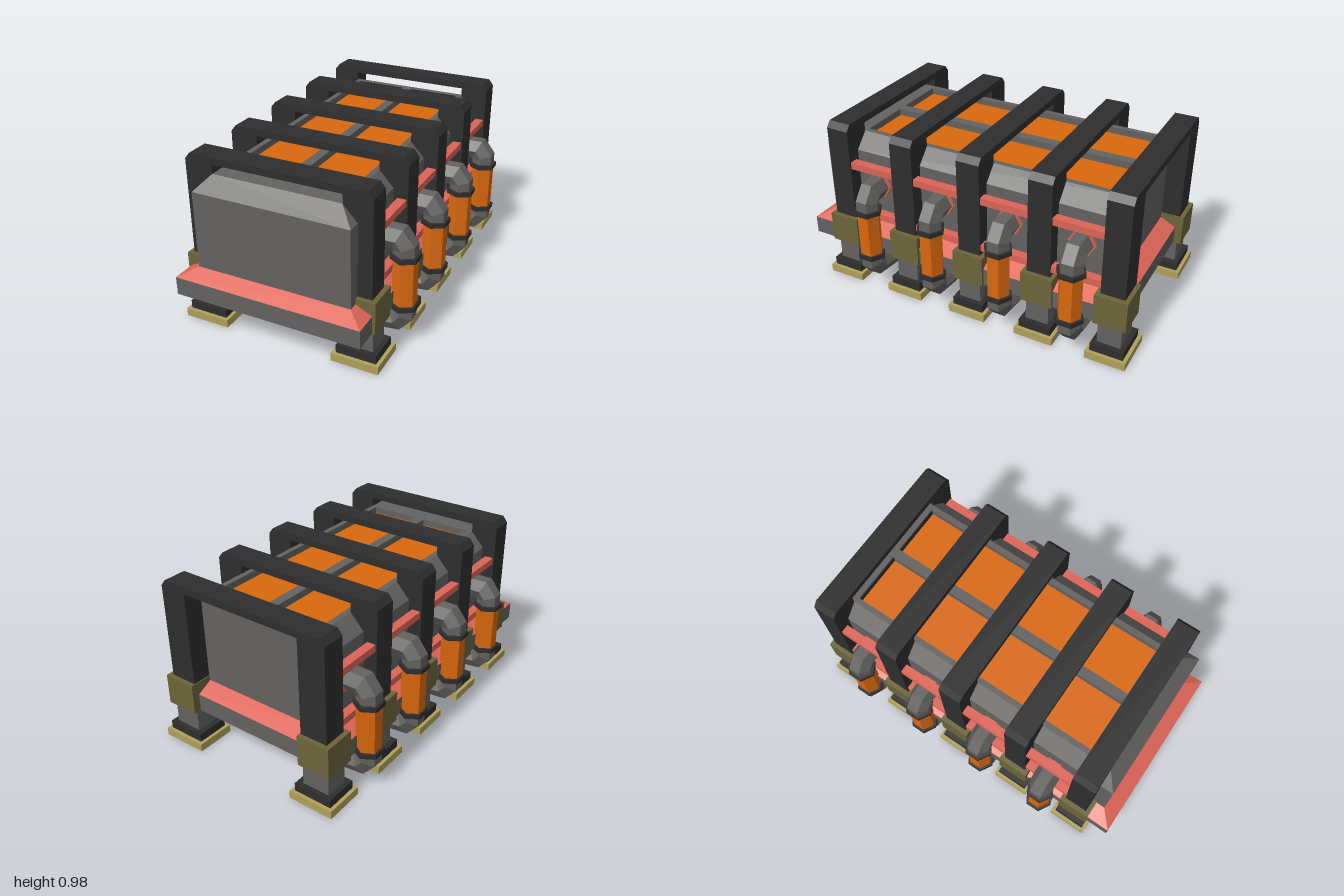
import * as THREE from 'three';
import { ConvexGeometry } from 'three/addons/geometries/ConvexGeometry.js';

const mat = (name, color) => Object.assign(new THREE.MeshStandardMaterial({ color, flatShading: true }), { name });

export function createModel() {
  const grey = mat('steel grey', 0x636260), dark = mat('charcoal', 0x2e2e2e);
  const orange = mat('glowing orange', 0xd9680e), red = mat('coral red', 0xdd6457);
  const gold = mat('pale brass', 0xaea05b), olive = mat('dark olive', 0x6c643a);
  const root = new THREE.Group();

  const add = (name, geometry, material, parent = root) => {
    const mesh = new THREE.Mesh(geometry, material);
    mesh.name = name;
    parent.add(mesh);
    return mesh;
  };
  // Box given by its limits on each axis
  const box = (name, material, [x0, x1], [y0, y1], [z0, z1], parent = root) => {
    const mesh = add(name, new THREE.BoxGeometry(x1 - x0, y1 - y0, z1 - z0), material, parent);
    mesh.position.set((x0 + x1) / 2, (y0 + y1) / 2, (z0 + z1) / 2);
    return mesh;
  };
  // Convex solid from rectangles [half width, y, z back, z front]
  const hull = (name, material, layers) => {
    const pts = layers.flatMap(([x, y, a, b]) => [-x, x].flatMap(s => [a, b].map(z => new THREE.Vector3(s, y, z))));
    return add(name, new ConvexGeometry(pts), material);
  };
  // Outline in x and y, extruded from z0 to z1
  const extrude = (name, material, pts, z0, z1, parent = root) => {
    const shape = new THREE.Shape(pts.map(p => new THREE.Vector2(...p)));
    const geo = new THREE.ExtrudeGeometry(shape, { depth: z1 - z0, bevelEnabled: false });
    geo.translate(0, 0, z0);
    return add(name, geo, material, parent);
  };
  const mirrored = half => [...half, ...half.map(([x, y]) => [-x, y]).reverse()];

  // Base with sloped red skirt
  box('basePlate', grey, [-0.535, 0.535], [0.222, 0.325], [-0.93, 1]);
  hull('baseSkirt', red, [[0.535, 0.325, -0.93, 1], [0.445, 0.37, -0.84, 0.915]]);

  // Housing: chamfered ends and a middle section with two long troughs
  hull('housingFront', grey, [[0.445, 0.33, 0.7, 0.915], [0.445, 0.805, 0.7, 0.915], [0.365, 0.89, 0.7, 0.84]]);
  hull('housingBack', grey, [[0.445, 0.33, -0.84, -0.805], [0.445, 0.805, -0.84, -0.805], [0.365, 0.89, -0.84, -0.805]]);
  extrude('housingMiddle', grey, mirrored([
    [0.445, 0.33], [0.445, 0.805], [0.365, 0.89], [0.333, 0.89], [0.333, 0.845], [0.028, 0.845], [0.028, 0.89],
  ]), -0.805, 0.7);
  for (const s of [-1, 1]) {
    const panel = box('topPanel', orange, [-0.152, 0.152], [0.845, 0.852], [-0.804, 0.699]);
    panel.position.x = s * 0.181;
    // Dark end wall of the trough
    const wall = box('troughEnd', dark, [-0.152, 0.152], [0.852, 0.889], [-0.805, -0.799]);
    wall.position.x = s * 0.181;
  }

  // Side rails
  for (const s of [-1, 1]) for (const y of [0.445, 0.735]) {
    const rail = box('sideRail', red, [0, 0.05], [y - 0.02, y + 0.02], [-0.85, 0.75]);
    rail.position.x = s * 0.492;
  }

  // Five arched frames with legs and feet
  for (let i = 0; i < 5; i++) {
    const frame = new THREE.Group();
    frame.name = 'supportFrame';
    frame.position.z = 0.773 - i * 0.414;
    root.add(frame);
    extrude('arch', dark, mirrored([
      [0.365, 0.94], [0.365, 0.23], [0.525, 0.23], [0.525, 0.945], [0.497, 0.98],
    ]), -0.067, 0.067, frame);
    for (const s of [-1, 1]) {
      const side = ([a, b]) => s > 0 ? [a, b] : [-b, -a];
      box('bracket', olive, side([0.36, 0.552]), [0.221, 0.4], [-0.091, 0.091], frame);
      box('leg', grey, side([0.37, 0.53]), [0.08, 0.225], [-0.066, 0.066], frame);
      box('footCollar', dark, side([0.335, 0.56]), [0.045, 0.092], [-0.093, 0.093], frame);
      // Brass foot with a dark sole
      box('foot', [gold, gold, gold, dark, gold, gold], side([0.315, 0.58]), [0, 0.045], [-0.113, 0.113], frame);
    }
  }

  // Six-sided pipe swept along a path in the x-y plane
  const pipeGeometry = (path, r) => {
    const P = path.map(p => new THREE.Vector2(...p)), pos = [], idx = [];
    P.forEach((p, i) => {
      const a = P[Math.max(i - 1, 0)], b = P[Math.min(i + 1, P.length - 1)];
      const d1 = (i ? p.clone().sub(a) : b.clone().sub(p)).normalize();
      const d2 = (i < P.length - 1 ? b.clone().sub(p) : d1.clone()).normalize();
      const t = d1.clone().add(d2).normalize();
      const miter = 1 / t.dot(d1);
      for (let k = 0; k < 6; k++) {
        const c = r * Math.cos((k + 0.5) * Math.PI / 3) * miter;
        pos.push(p.x - t.y * c, p.y + t.x * c, r * Math.sin((k + 0.5) * Math.PI / 3));
        if (i) {
          const q = (i - 1) * 6, n = (k + 1) % 6;
          idx.push(q + k, q + n, q + 6 + k, q + n, q + 6 + n, q + 6 + k);
        }
      }
    });
    // Turn the section so that its points lie on the z axis
    for (let v = 0; v < P.length; v++) for (let k = 0; k < 6; k++) {
      pos[(v * 6 + k) * 3 + 2] = r * Math.sin((k + 0.5) * Math.PI / 3);
    }
    const geo = new THREE.BufferGeometry();
    geo.setAttribute('position', new THREE.Float32BufferAttribute(pos, 3));
    geo.setIndex(idx);
    geo.computeVertexNormals();
    return geo;
  };
  const pipeGrey = grey.clone();
  pipeGrey.side = THREE.DoubleSide;
  const upper = [[0.58, 0.52], [0.58, 0.575], [0.545, 0.62], [0.44, 0.62]];
  const lower = [[0.58, 0.235], [0.58, 0.185], [0.54, 0.14], [0.4, 0.125], [0.27, 0.14], [0.23, 0.185], [0.23, 0.235]];

  // Four pipes per side: coloured tube, two collars, elbow into the wall, bend under the base
  for (const s of [-1, 1]) for (let i = 0; i < 4; i++) {
    const pipe = new THREE.Group();
    pipe.name = 'coolantPipe';
    pipe.position.z = 0.566 - i * 0.414;
    pipe.rotation.y = s > 0 ? 0 : Math.PI;
    root.add(pipe);
    add('pipeTube', new THREE.CylinderGeometry(0.067, 0.067, 0.28, 6), orange, pipe).position.set(0.58, 0.375, 0);
    for (const y of [0.234, 0.521]) {
      add('pipeCollar', new THREE.CylinderGeometry(0.082, 0.082, 0.027, 6), dark, pipe).position.set(0.58, y, 0);
    }
    add('upperElbow', pipeGeometry(upper, 0.067), pipeGrey, pipe);
    add('lowerBend', pipeGeometry(lower, 0.067), pipeGrey, pipe);
    const flange = add('wallFlange', new THREE.CylinderGeometry(0.077, 0.077, 0.02, 6), red, pipe);
    flange.rotation.z = Math.PI / 2;
    flange.position.set(0.452, 0.62, 0);
  }
  return root;
}
